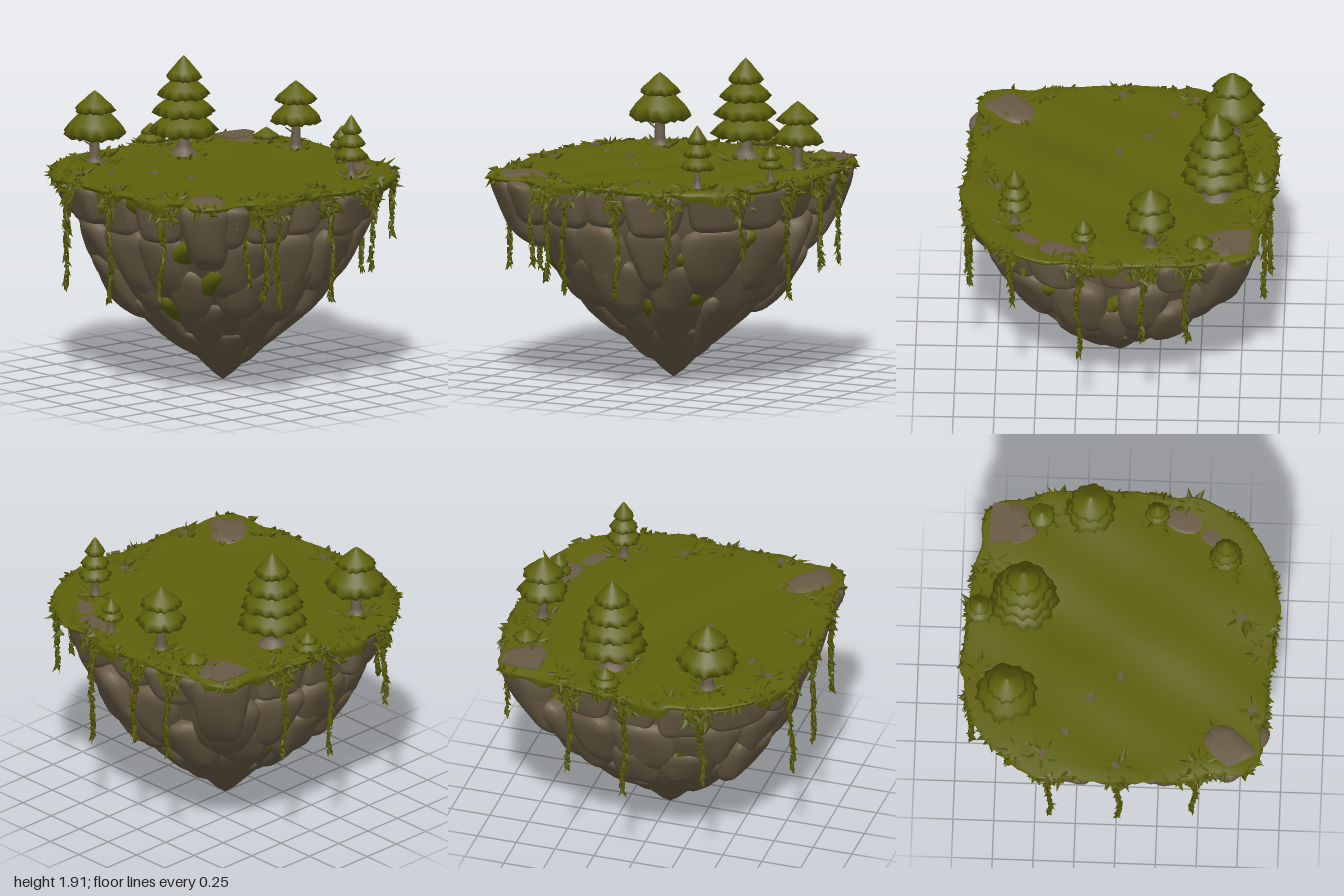
import * as THREE from 'three';
import { mergeGeometries, mergeVertices } from 'three/addons/utils/BufferGeometryUtils.js';

let seed = 7;
const rand = (a = 0, b = 1) => {
  seed = (seed * 16807) % 2147483647;
  return a + (b - a) * (seed / 2147483647);
};
const TAU = Math.PI * 2;
const TOP = 1.31;

// Island outline: radius every 15 degrees, from +x towards +z
const OUTLINE = [0.95, 0.97, 1.04, 1.07, 1.04, 1.0, 0.94, 0.95, 1.04, 1.19, 1.03, 0.97,
  0.94, 0.97, 1.05, 1.07, 1.05, 1.0, 0.95, 0.96, 1.03, 1.17, 1.05, 0.98];
function outline(th) {
  const t = (((th / TAU) % 1) + 1) % 1 * 24, i = Math.floor(t), f = t - i;
  return THREE.MathUtils.lerp(OUTLINE[i % 24], OUTLINE[(i + 1) % 24], f * f * (3 - 2 * f));
}

// Rock profile: [height, share of outline]
const PROFILE = [[0, 0.015], [0.1, 0.12], [0.2, 0.23], [0.3, 0.34], [0.45, 0.52],
  [0.6, 0.67], [0.8, 0.81], [1.02, 0.92], [1.3, 0.985]];
function rockRadius(th, y) {
  y = THREE.MathUtils.clamp(y, 0, 1.3);
  const i = Math.max(1, PROFILE.findIndex((p) => p[0] >= y));
  const [y0, s0] = PROFILE[i - 1], [y1, s1] = PROFILE[i];
  const s = s0 + (s1 - s0) * (y - y0) / (y1 - y0);
  return s * THREE.MathUtils.lerp(0.98, outline(th), Math.max(0, y - 0.3));
}
const polar = (th, r, y) => new THREE.Vector3(Math.cos(th) * r, y, Math.sin(th) * r);
const wave = (th) => 0.5 * Math.sin(7 * th + 1) + 0.3 * Math.sin(17 * th) + 0.2 * Math.sin(31 * th + 2);
const ground = (x, z) => TOP + 0.012 * Math.sin(5 * x + 1) * Math.sin(4 * z)
  + 0.008 * Math.sin(11 * x + 7 * z) + 0.012 * (x * x + z * z) - 0.012;

// Closed rings joined into a smooth skin, listed from the top down
function skin(nu, nv, point) {
  const pos = [], index = [];
  for (let j = 0; j <= nv; j++) {
    for (let i = 0; i < nu; i++) pos.push(...point(i / nu * TAU, j, i).toArray());
  }
  for (let j = 0; j < nv; j++) {
    for (let i = 0; i < nu; i++) {
      const k = (i + 1) % nu, a = j * nu + i, b = j * nu + k, c = a + nu, d = b + nu;
      index.push(a, b, c, b, d, c);
    }
  }
  const g = new THREE.BufferGeometry();
  g.setAttribute('position', new THREE.Float32BufferAttribute(pos, 3));
  g.setIndex(index);
  g.computeVertexNormals();
  return g;
}

// Rounded, tapering block wrapped around the rock profile; bulge fills out its foot
function boulder(th, yTop, yBot, halfAngle, depth, out, bulge, roundness) {
  let g = new THREE.SphereGeometry(1, 20, 14);
  g.deleteAttribute('uv');
  g.deleteAttribute('normal');
  g = mergeVertices(g);
  const p = g.attributes.position, box = (v) => Math.sign(v) * Math.abs(v) ** roundness;
  const lean = rand(-0.3, 0.3), tilt = rand(-0.025, 0.025), k = rand(0, 6);
  for (let i = 0; i < p.count; i++) {
    const t = (1 - box(p.getY(i))) / 2;
    const y = THREE.MathUtils.lerp(yTop, yBot, t);
    const a = box(p.getZ(i)) * (1 - 0.6 * roundness * t * t) + lean * (t - 0.5);
    const r = rockRadius(th, THREE.MathUtils.lerp(y, yTop, bulge)), d = Math.min(depth, r * 0.6);
    const rough = 0.016 * Math.sin(4 * a + k) * Math.sin(11 * y + k * 2) + tilt * a;
    const v = polar(th + a * halfAngle, Math.max(0.005, r - d + d * box(p.getX(i)) + rough + out), y);
    p.setXYZ(i, v.x, v.y, v.z);
  }
  g.computeVertexNormals();
  return g;
}

// Pointed leaf growing from a point
const UP = new THREE.Vector3(0, 1, 0);
function leaf(at, dir, length, width) {
  const g = new THREE.ConeGeometry(width, length, 4, 1, true);
  g.translate(0, length / 2, 0).scale(1, 1, 0.4).rotateY(rand(0, TAU));
  g.applyQuaternion(new THREE.Quaternion().setFromUnitVectors(UP, dir.normalize()));
  return g.translate(at.x, at.y, at.z);
}

// Ring of blades on the ground
function tuft(x, z, r, n) {
  return Array.from({ length: n }, () => {
    const d = polar(rand(0, TAU), 1, rand(0.2, 0.8)), s = rand(0.2, 0.8) * r;
    return leaf(new THREE.Vector3(x + d.x * s, ground(x, z) - 0.01, z + d.z * s), d, rand(0.05, 0.09), 0.024);
  });
}

// Leafy clump hanging over the rim
function rimClump(th, n, spread, drop) {
  return Array.from({ length: n }, () => {
    const a = th + rand(-spread, spread);
    return leaf(polar(a, outline(a) - 0.025, TOP + 0.01 - rand(0, drop)),
      polar(a + rand(-1.2, 1.2), 1, rand(-2, 0.3)), rand(0.04, 0.075), 0.03);
  });
}

// Trailing vine of small leaves
function vine(x, z, yEnd) {
  const th = Math.atan2(z, x), r = outline(th) - 0.025, k = rand(0, 6), parts = [];
  for (let y = TOP - 0.03; y > yEnd + 0.04; y -= 0.03) {
    const at = polar(th + 0.014 * Math.sin(y * 12 + k), r, y);
    const size = y > 1.1 ? 1.1 : 0.85;
    for (let i = 0; i < 3; i++) {
      parts.push(leaf(at, polar(rand(0, TAU), 1, rand(-3, -0.9)), rand(0.045, 0.07) * size, 0.022 * size));
    }
  }
  return [...parts, ...rimClump(th, 24, 0.09, 0.14)];
}

// One skirt of foliage with a ragged edge that curls under
function tier(top, hem, r) {
  const h = top - hem, k = rand(0, 6);
  const rings = [[0, top], [0.3, top - 0.2 * h], [0.58, top - 0.44 * h], [0.85, top - 0.64 * h],
    [1, hem + 0.2 * h], [0.78, hem + 0.02 * h], [0, hem + 0.12 * h]];
  return skin(32, 6, (th, j, i) => {
    const [s, y] = rings[j], edge = [0, 0, 0.15, 0.35, 1, 0.5, 0][j];
    const tooth = 0.08 * Math.sin(i * 2.4 + k) + 0.04 * Math.sin(5 * th + k);
    return polar(th, r * s * (1 + edge * tooth), y - edge * tooth * r * 0.9);
  });
}

export function createModel() {
  const model = new THREE.Group();
  const paint = (name, color, side) => {
    const m = new THREE.MeshStandardMaterial({ color, side: side ?? THREE.FrontSide });
    m.name = name;
    return m;
  };
  const rock = paint('rock', 0x695b45);
  const bark = paint('bark', 0x6b5e4c);
  const green = paint('foliage', 0x5e610b, THREE.DoubleSide);
  const add = (name, geometry, material, parent = model) => {
    const m = new THREE.Mesh(Array.isArray(geometry) ? mergeGeometries(geometry) : geometry, material);
    m.name = name;
    parent.add(m);
    return m;
  };

  // Rock core, fuller towards the tip
  add('rockCore', skin(72, 26, (th, j) => {
    const y = 1.28 * (1 - j / 26);
    return polar(th, rockRadius(th, y) * (j === 26 ? 0 : THREE.MathUtils.lerp(1, 0.89, Math.min(1, y * 2.5))), y);
  }), rock);

  // Boulder rows: top, bottom, count, depth, bulge, roundness
  const rows = [[1.295, 1.0, 16, 0.12, 0, 0.42], [1.07, 0.57, 13, 0.15, 0.14, 0.6],
    [0.84, 0.44, 12, 0.13, 0.25, 0.62], [0.6, 0.2, 9, 0.13, 0.16, 0.62], [0.36, 0.11, 6, 0.1, 0.14, 0.62]];
  const stones = [];
  rows.forEach(([top, bot, n, depth, bulge, roundness], row) => {
    for (let i = 0; i < n; i++) {
      const th = (i + 0.5 * (row % 2) + rand(-0.15, 0.15)) / n * TAU;
      const low = row ? rand(-0.05, 0.06) : rand(-0.01, 0.04);
      stones.push(boulder(th, top, bot + low, Math.PI / n * rand(0.92, 1.25), depth,
        row === 4 ? 0 : rand(-0.04, 0.012), bulge, roundness));
    }
  });
  // Large boulders under the two sharp corners
  stones.push(boulder(-0.77, 1.325, 0.72, 0.19, 0.2, 0.01, 0.1, 0.5));
  stones.push(boulder(2.36, 1.325, 0.85, 0.16, 0.2, 0.012, 0.1, 0.5));
  add('boulders', stones, rock);

  // Moss swelling out of the crevices
  add('moss', skin(120, 40, (th, j) => {
    const y = 1.28 - 0.9 * j / 40;
    const patch = Math.sin(6 * th + 5 * y) * Math.sin(13 * y + 2 * Math.sin(3 * th)) + 0.25 * Math.sin(19 * th + 17 * y);
    return polar(th, rockRadius(th, y) * (0.85 + 0.115 * Math.min(1, patch)), y);
  }), green);

  // Grass sheet with an uneven hem over the rim
  add('grass', skin(144, 18, (th, j) => {
    const r = outline(th) + 0.012 * wave(th * 2);
    if (j <= 13) {
      const v = polar(th, r * 0.985 * j / 13, 0);
      v.y = ground(v.x, v.z);
      return v;
    }
    const t = (j - 13) / 5, drop = 0.03 + 0.12 * Math.max(0, wave(th) - 0.1);
    return polar(th, r * (1 - 0.012 * t * t), TOP - 0.004 - drop * t);
  }), green);

  // Bare stone showing through the grass
  const corner = new THREE.Shape([[0.58, 0.82], [0.6, 0.63], [0.74, 0.64], [0.79, 0.7], [0.84, 0.72],
    [0.84, 0.81], [0.7, 0.83]].map(([x, z]) => new THREE.Vector2(x, z)));
  const slab = new THREE.ExtrudeGeometry(corner, { depth: 0.009, bevelEnabled: false }).rotateX(-Math.PI / 2);
  add('bareCorner', slab, rock).position.y = ground(0.7, -0.72) + 0.003;
  [[-0.78, -0.45], [-0.84, 0], [-0.4, -0.17], [-0.26, 0.01], [-0.63, -0.32], [-0.45, 0.83], [0.15, 0.74],
    [-0.6, 0.62]].forEach(([x, z], i) => {
    const pebble = add('bareStone', new THREE.CylinderGeometry(0.028, 0.03, 0.009, 5), rock);
    pebble.position.set(x, ground(x, z) + 0.005, z);
    pebble.scale.set(1.3, 1, 0.8);
    pebble.rotation.y = i;
  });

  // Trees: x, z, trunk radius, tiers as [top, hem, radius]
  const trees = [
    ['tallPine', 0.18, -0.6, 0.045, [[1.62, 1.41, 0.205], [1.72, 1.53, 0.185], [1.82, 1.64, 0.155], [1.91, 1.75, 0.105]]],
    ['broadTree', -0.46, -0.68, 0.036, [[1.72, 1.46, 0.185], [1.76, 1.62, 0.12]]],
    ['sideTree', 0.75, -0.21, 0.032, [[1.66, 1.47, 0.15], [1.74, 1.6, 0.125]]],
    ['smallPine', 0.5, 0.63, 0.02, [[1.53, 1.41, 0.1], [1.61, 1.49, 0.085], [1.69, 1.57, 0.06]]],
    ['sapling', 0.78, 0.2, 0.014, [[1.47, 1.38, 0.075], [1.52, 1.43, 0.055]]],
    ['backBush', 0.14, -0.87, 0.016, [[1.42, 1.33, 0.09], [1.45, 1.38, 0.06]]],
    ['sideBush', 0.76, -0.51, 0.014, [[1.4, 1.33, 0.08]]],
  ];
  const tufts = [];
  for (const [name, x, z, r, tiers] of trees) {
    const tree = new THREE.Group();
    tree.name = name;
    tree.position.set(x, 0, z);
    model.add(tree);
    const top = tiers[0][1] + 0.05;
    const profile = [[2, 1.29], [1.3, 1.325], [0.95, 1.35], [0.75, top]].map(([s, y]) => new THREE.Vector2(r * s, y));
    add('trunk', new THREE.LatheGeometry(profile, 10), bark, tree);
    if (name.endsWith('Tree')) {
      const branch = add('branch', new THREE.CylinderGeometry(0.004, 0.008, 0.1, 5), bark, tree);
      branch.position.set(-0.05, 1.43, 0.01);
      branch.rotation.z = 1;
    }
    add('foliage', tiers.map((t) => tier(...t)), green, tree);
    tufts.push(...tuft(x, z, 0.09 + r * 1.8, 18));
  }

  // Grass tufts
  for (const [x, z] of [[0.15, 0.76], [-0.45, 0.82], [-0.6, 0.62], [-0.08, 0.86], [-0.78, -0.45],
    [-0.86, 0.02], [-0.82, 0.5], [0.88, 0.4], [0.86, -0.4], [-0.78, -0.62], [-0.25, -0.87], [0.45, -0.8]]) {
    tufts.push(...tuft(x, z, 0.08, 10));
  }
  add('grassTufts', tufts, green);

  // Leaves scattered along the rim
  const rim = [];
  for (let i = 0; i < 22; i++) rim.push(...rimClump((i + rand(-0.4, 0.4)) / 22 * TAU, 8, 0.06, 0.05));
  add('rimLeaves', rim, green);

  // Vines: x, z, lowest point
  [[-0.55, 0.91, 0.74], [-0.42, 0.93, 0.64], [-0.31, 0.94, 0.6], [0.1, 0.95, 0.59], [0.45, 0.92, 0.74],
    [0.96, 0.24, 0.57], [0.96, -0.17, 0.68], [0.95, -0.45, 0.68], [0.85, 0.68, 0.85], [-0.94, -0.42, 0.6],
    [-0.95, 0.02, 0.56], [-0.92, 0.5, 0.64], [-0.5, -0.92, 0.72], [0, -0.96, 0.57], [0.38, -0.93, 0.66],
  ].forEach((v) => add('vine', vine(...v), green));

  return model;
}
